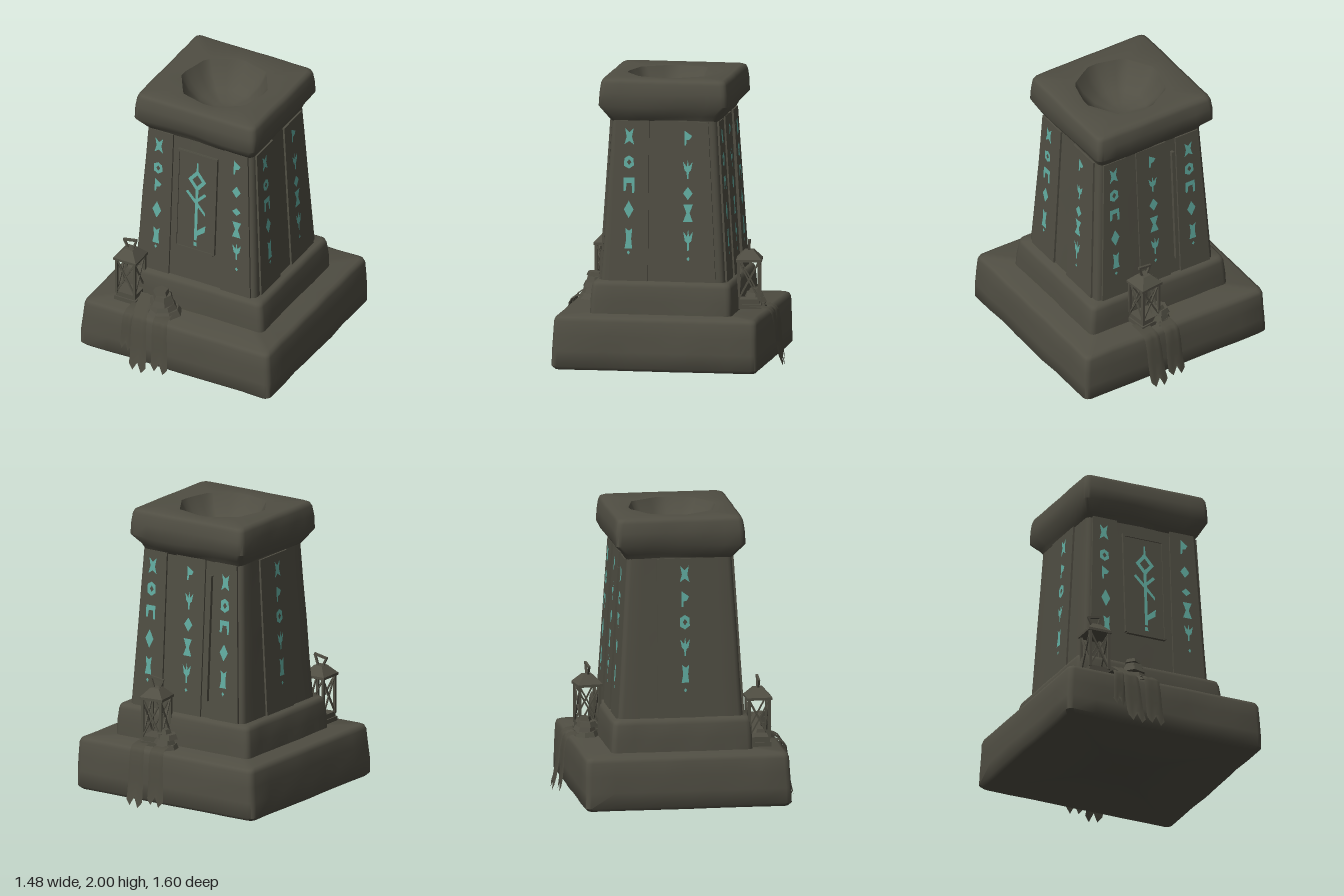
import * as THREE from 'three';
import { toCreasedNormals } from 'three/addons/utils/BufferGeometryUtils.js';

const stone = new THREE.MeshStandardMaterial({ color: 0x504e43 });
stone.name = 'stone';
const cloth = new THREE.MeshStandardMaterial({ color: 0x4c4a3f, side: THREE.DoubleSide });
cloth.name = 'cloth';
const glow = new THREE.MeshStandardMaterial({ color: 0x62aea2, side: THREE.DoubleSide });
glow.name = 'glow';

function add(parent, name, geo, mat = stone, x = 0, y = 0, z = 0) {
  const m = new THREE.Mesh(geo, mat);
  m.name = name;
  m.position.set(x, y, z);
  parent.add(m);
  return m;
}

// Rounded rectangle ring, or a polygon ring with the same point count when s.poly is set
function ring(s) {
  const r = s.r ?? 0.04, corners = [], pts = [];
  for (let q = 0; q < 4; q++) {
    const sx = q === 0 || q === 3 ? 1 : -1, sz = q < 2 ? 1 : -1;
    for (let k = 0; k < 4; k++) {
      const a = (q + k / 3) * Math.PI / 2;
      corners.push([sx * (s.hx - r) + r * Math.cos(a), sz * (s.hz - r) + r * Math.sin(a)]);
    }
  }
  corners.forEach((p, i) => {
    pts.push(p);
    const n = corners[(i + 1) % 16];
    if (i % 4 === 3) for (let k = 1; k < 8; k++) pts.push([p[0] + (n[0] - p[0]) * k / 8, p[1] + (n[1] - p[1]) * k / 8]);
  });
  if (!s.poly) return pts;
  return pts.map(([x, z]) => {
    const a = Math.atan2(z, x), w = Math.PI / 4;
    const t = (((a + 0.15) % w) + w) % w - w / 2;
    const d = s.poly * Math.cos(w / 2) / Math.cos(t);
    return [d * Math.cos(a), d * Math.sin(a) + 0.01];
  });
}

// Weathered block lofted through rings from bottom to top
function loft(sections, wear = 0.006) {
  const pos = [], idx = [];
  const N = ring(sections[0]).length, S = sections.length;
  for (const s of sections) for (const [x, z] of ring(s)) {
    const f = 1 + wear * (Math.sin(9 * x + 6 * s.y + 1) * Math.sin(8 * z + 5 * s.y + 2) + 0.5 * Math.sin(23 * x - 19 * z + 11 * s.y));
    pos.push(x * f, s.y + (s.wave ?? 0) * Math.sin(8 * x + 6 * z), z * f);
  }
  pos.push(0, sections[0].y, 0, 0, sections[S - 1].y, 0);
  for (let i = 0; i < N; i++) {
    const j = (i + 1) % N, top = (S - 1) * N;
    for (let k = 0; k < S - 1; k++) {
      const a = k * N + i, b = k * N + j;
      idx.push(a, a + N, b, b, a + N, b + N);
    }
    idx.push(S * N, i, j, S * N + 1, top + j, top + i);
  }
  const g = new THREE.BufferGeometry();
  g.setAttribute('position', new THREE.Float32BufferAttribute(pos, 3));
  g.setIndex(idx);
  return toCreasedNormals(g, 0.9);
}

const shapeOf = (pts) => new THREE.Shape(pts.map(([x, y]) => new THREE.Vector2(x, y)));
const plate = (pts, depth) => new THREE.ExtrudeGeometry(shapeOf(pts), { depth, bevelEnabled: false });

// Rune outlines in a unit box
const RUNES = {
  hourglass: [[-.9, 1], [.9, 1], [.3, 0], [.9, -1], [-.9, -1], [-.3, 0]],
  star: [[-.8, 1], [0, .5], [.8, 1], [.5, 0], [.9, -.9], [0, -.5], [-.9, -.9], [-.5, 0]],
  flag: [[-.6, 1], [.8, .3], [.4, -.2], [-.2, -.3], [-.3, -1], [-.6, -1]],
  gate: [[-1, .9], [1, .9], [1, -1], [.6, -1], [.5, .2], [-.4, .2], [-.6, -.8], [-1, -.8]],
  diamond: [[0, 1], [.9, 0], [0, -1], [-.9, 0]],
  block: [[-.6, 1], [.1, .7], [.7, 1], [.5, 0], [.7, -.9], [-.7, -.9], [-.4, 0]],
  fork: [[-.9, .8], [-.2, .3], [0, 1], [.2, .3], [.9, .8], [.6, -.1], [.2, -.3], [.15, -1], [-.15, -1], [-.2, -.3], [-.6, -.1]],
  ring: [[0, 1], [.8, .6], [.9, -.5], [0, -1], [-.9, -.6], [-.9, .6]],
};

function rune(parent, kind, u, v, w, h) {
  const s = shapeOf(RUNES[kind].map(([x, y]) => [x * w / 2, y * h / 2]));
  if (kind === 'ring') s.holes.push(new THREE.Path([[0, .45], [-.4, 0], [0, -.45], [.45, 0]].map(([x, y]) => new THREE.Vector2(x * w / 2, y * h / 2))));
  add(parent, 'rune', new THREE.ShapeGeometry(s), glow, u, v, 0.018);
}

function runeColumn(parent, u, lean, rows) {
  rows.forEach(([kind, y, h], i) => rune(parent, kind, u + lean * i / 5, y - 0.61, h < 0.05 ? 0.025 : 0.075, h));
}

// Local frame lying on one tilted face of the shaft
function face(parent, name, turn, dist, tilt) {
  const outer = new THREE.Group(), f = new THREE.Group();
  outer.name = name;
  outer.rotation.y = turn;
  f.position.set(0, 0.61, dist);
  f.rotation.x = -tilt;
  outer.add(f);
  parent.add(outer);
  return f;
}

function bar(parent, name, a, b, t) {
  const p = new THREE.Vector3(...a), q = new THREE.Vector3(...b);
  const m = add(parent, name, new THREE.BoxGeometry(t, p.distanceTo(q), t));
  m.position.copy(p).lerp(q, 0.5);
  m.quaternion.setFromUnitVectors(new THREE.Vector3(0, 1, 0), q.sub(p).normalize());
}

function lantern(parent, name, x, z, turn) {
  const g = new THREE.Group();
  g.name = name;
  g.position.set(x, 0.385, z);
  g.rotation.y = turn;
  parent.add(g);
  add(g, 'lanternBase', new THREE.BoxGeometry(0.165, 0.03, 0.165), stone, 0, 0.03, 0);
  add(g, 'lanternFloor', new THREE.BoxGeometry(0.145, 0.04, 0.145), stone, 0, 0.06, 0);
  add(g, 'lanternTop', new THREE.BoxGeometry(0.175, 0.018, 0.175), stone, 0, 0.347, 0);
  const roof = new THREE.CylinderGeometry(0.045, 0.122, 0.06, 4).rotateY(Math.PI / 4).toNonIndexed();
  roof.computeVertexNormals();
  add(g, 'lanternRoof', roof, stone, 0, 0.386, 0);
  for (let k = 0; k < 4; k++) {
    const side = new THREE.Group();
    side.name = 'lanternSide';
    side.rotation.y = k * Math.PI / 2;
    g.add(side);
    bar(side, 'lanternPost', [-0.07, 0.07, 0.07], [-0.07, 0.34, 0.07], 0.018);
    bar(side, 'lanternBrace', [-0.065, 0.09, 0.07], [0.065, 0.33, 0.07], 0.01);
    bar(side, 'lanternBrace', [0.065, 0.09, 0.068], [-0.065, 0.33, 0.068], 0.01);
  }
  // Carrying handle
  bar(g, 'handle', [-0.02, 0.41, 0], [-0.05, 0.47, 0], 0.014);
  bar(g, 'handle', [0.02, 0.41, 0], [0.045, 0.485, 0], 0.014);
  bar(g, 'handle', [-0.055, 0.468, 0], [0.05, 0.488, 0], 0.016);
}

function stoneStack(parent, x, z, layers) {
  layers.forEach(([r, y, h, sides, dx], i) => {
    const geo = new THREE.CylinderGeometry(r * 0.8, r, h, sides).toNonIndexed();
    geo.computeVertexNormals();
    const m = add(parent, 'stackedStone', geo, stone, x + dx, y, z - dx / 2);
    m.rotation.set(0.05 * (i % 2 ? 1 : -1), i * 0.9, 0.04);
  });
}

// Torn strip of cloth draped over the plinth edge
function strip(parent, x, w, top, bottom, out, shift) {
  const g = new THREE.PlaneGeometry(w, 1, 4, 8), p = g.attributes.position;
  const path = new THREE.CatmullRomCurve3([
    new THREE.Vector3(0, top, 0.58), new THREE.Vector3(0, 0.41, 0.7), new THREE.Vector3(0, 0.37, 0.738),
    new THREE.Vector3(0, (0.37 + bottom) / 2, 0.74 + out * 0.45), new THREE.Vector3(0, bottom, 0.74 + out)]);
  for (let i = 0; i < p.count; i++) {
    const t = 0.5 - p.getY(i), c = i % 5, q = path.getPoint(t);
    const tear = t > 0.99 ? [0.05, 0.01, 0.07, 0, 0.04][c] : 0;
    p.setXYZ(i, x + p.getX(i) * (0.75 + 0.25 * t) + shift * t, q.y + tear, q.z + (c % 2 ? 0.006 : -0.004));
  }
  g.computeVertexNormals();
  add(parent, 'clothStrip', g, cloth);
}

export function createModel() {
  const root = new THREE.Group();

  // Stepped plinth
  add(root, 'plinth', loft([
    { y: .022, hx: .715, hz: .69 }, { y: .045, hx: .737, hz: .712 }, { y: .15, hx: .737, hz: .712 },
    { y: .26, hx: .73, hz: .708 }, { y: .355, hx: .722, hz: .702 }, { y: .38, hx: .712, hz: .692 }, { y: .39, hx: .69, hz: .67 },
  ]), stone, 0, 0, 0.012);
  add(root, 'upperStep', loft([
    { y: .37, hx: .555, hz: .49 }, { y: .48, hx: .55, hz: .487 }, { y: .575, hx: .54, hz: .48 },
    { y: .6, hx: .532, hz: .472 }, { y: .61, hx: .515, hz: .455 },
  ]));

  // Tapered shaft
  add(root, 'shaft', loft([0, .25, .5, .75, 1].map((t) => ({ y: .6 + 1.15 * t, hx: .472 - .062 * t, hz: .43 - .07 * t, r: .035 })), 0.003));

  // Flared cap with a hollow bowl
  add(root, 'cap', loft([
    { y: 1.69, hx: .4, hz: .355 }, { y: 1.735, hx: .425, hz: .385, wave: .012 }, { y: 1.81, hx: .472, hz: .448, wave: .008 },
    { y: 1.9, hx: .47, hz: .444 }, { y: 1.965, hx: .462, hz: .436 }, { y: 1.988, hx: .452, hz: .426 }, { y: 1.998, hx: .43, hz: .405 },
    { y: 1.99, hx: .43, hz: .405, poly: .315 }, { y: 1.9, hx: .43, hz: .405, poly: .265 },
    { y: 1.82, hx: .43, hz: .405, poly: .18 }, { y: 1.785, hx: .43, hz: .405, poly: .08 },
  ]));

  // Shaft faces with raised panels and rune columns
  const front = face(root, 'frontFace', 0, .43, .061), back = face(root, 'backFace', Math.PI, .43, .061);
  const right = face(root, 'sideFace', Math.PI / 2, .471, .053), left = face(root, 'sideFace', -Math.PI / 2, .471, .053);
  for (const f of [front, back]) for (const s of [-1, 1]) {
    const pts = [[.2 * s, 0], [.435 * s, 0], [.38 * s, 1.1], [.2 * s, 1.1]];
    add(f, 'pilaster', plate(s < 0 ? pts.reverse() : pts, 0.014));
  }
  const rect = (a, b, c, d) => [[a, c], [b, c], [b, d], [a, d]];
  add(front, 'centrePanel', plate(rect(-.15, .14, .25, 1.01), 0.012));
  for (const u of [-.152, .142]) add(front, 'panelEdge', plate(rect(u - .008, u + .008, .25, 1.01), 0.02));
  for (const v of [.25, 1.0]) add(front, 'panelEdge', plate(rect(-.15, .14, v - .008, v + .008), 0.02));
  add(back, 'centrePanel', plate(rect(-.12, .12, 0, 1.1), 0.012));
  add(back, 'ridge', plate(rect(.16, .18, .12, 1.0), 0.024));
  add(right, 'sidePanel', plate([[.06, 0], [.37, 0], [.31, 1.1], [.06, 1.1]], 0.014));
  add(right, 'sidePanel', plate([[-.37, 0], [-.1, 0], [-.1, 1.1], [-.33, 1.1]], 0.014));
  add(left, 'sidePanel', plate(rect(-.16, .16, 0, 1.1), 0.014));

  runeColumn(front, -.305, 0, [['star', 1.595, .12], ['ring', 1.42, .09], ['flag', 1.285, .1], ['diamond', 1.09, .13], ['block', .885, .13], ['diamond', .8, .03]]);
  runeColumn(front, .3, .025, [['flag', 1.605, .11], ['diamond', 1.415, .09], ['diamond', 1.26, .06], ['hourglass', 1.12, .12], ['fork', .95, .13], ['diamond', .81, .03]]);
  runeColumn(right, -.235, 0, [['star', 1.6, .12], ['ring', 1.425, .09], ['gate', 1.27, .11], ['diamond', 1.1, .12], ['block', .9, .15], ['diamond', .805, .03]]);
  runeColumn(right, .17, .01, [['flag', 1.6, .1], ['fork', 1.385, .13], ['diamond', 1.22, .09], ['hourglass', 1.085, .12], ['fork', .9, .15], ['diamond', .77, .03]]);
  runeColumn(back, -.31, -.01, [['star', 1.6, .12], ['ring', 1.44, .1], ['gate', 1.28, .1], ['diamond', 1.09, .13], ['block', .9, .13], ['diamond', .8, .03]]);
  runeColumn(back, 0, 0, [['flag', 1.6, .1], ['fork', 1.41, .13], ['diamond', 1.24, .1], ['hourglass', 1.08, .12], ['fork', .9, .14], ['diamond', .78, .03]]);
  runeColumn(back, .295, .01, [['star', 1.58, .12], ['ring', 1.42, .1], ['gate', 1.27, .1], ['diamond', 1.09, .12], ['block', .9, .13], ['diamond', .8, .03]]);
  runeColumn(left, .03, 0, [['star', 1.6, .12], ['flag', 1.43, .11], ['ring', 1.27, .1], ['fork', 1.1, .13], ['block', .91, .13], ['diamond', .8, .03]]);

  // Large central sign
  const sign = (pts) => add(front, 'sign', new THREE.ShapeGeometry(shapeOf(pts)), glow, 0, 0, 0.018);
  sign([[-.011, .33], [.011, .33], [.011, .73], [-.011, .73]]);
  sign([[-.006, .94], [.006, .94], [.009, .86], [-.009, .86]]);
  const loop = shapeOf([[0, .885], [.07, .8], [0, .715], [-.07, .8]]);
  loop.holes.push(new THREE.Path([[0, .845], [-.037, .8], [0, .757], [.037, .8]].map((p) => new THREE.Vector2(...p))));
  add(front, 'sign', new THREE.ShapeGeometry(loop), glow, 0, 0, 0.018);
  sign([[-.085, .695], [-.07, .71], [0, .64], [0, .605]]);
  sign([[.075, .7], [.06, .715], [0, .655], [0, .625]]);
  sign([[.07, .535], [.07, .56], [0, .64], [0, .605]]);
  sign([[0, .4], [.075, .465], [.07, .41], [0, .36]]);
  sign(rect(-.012, .012, .285, .315));

  // Lanterns, stone stacks and cloth offerings at front and back
  lantern(root, 'frontLantern', -.445, .535, 0);
  lantern(root, 'backLantern', .165, -.55, .12);
  stoneStack(root, -.16, .57, [[.125, .405, .04, 8, 0], [.1, .445, .04, 7, -.01], [.09, .485, .035, 6, -.02], [.075, .522, .035, 6, -.01], [.06, .555, .03, 5, -.02]]);
  stoneStack(root, .07, -.575, [[.09, .405, .04, 7, 0], [.08, .442, .035, 6, .01], [.075, .477, .035, 6, -.01], [.05, .51, .03, 5, .01]]);
  const rear = new THREE.Group();
  rear.name = 'rearCloth';
  rear.rotation.y = Math.PI;
  rear.position.set(-.06, 0, .012);
  root.add(rear);
  for (const g of [root, rear]) {
    strip(g, -.29, .13, g === root ? .5 : .42, 0, .06, .04);
    strip(g, -.125, .13, .415, .02, .035, .03);
  }
  strip(root, -.35, .09, .42, .12, .02, -.015);
  return root;
}
